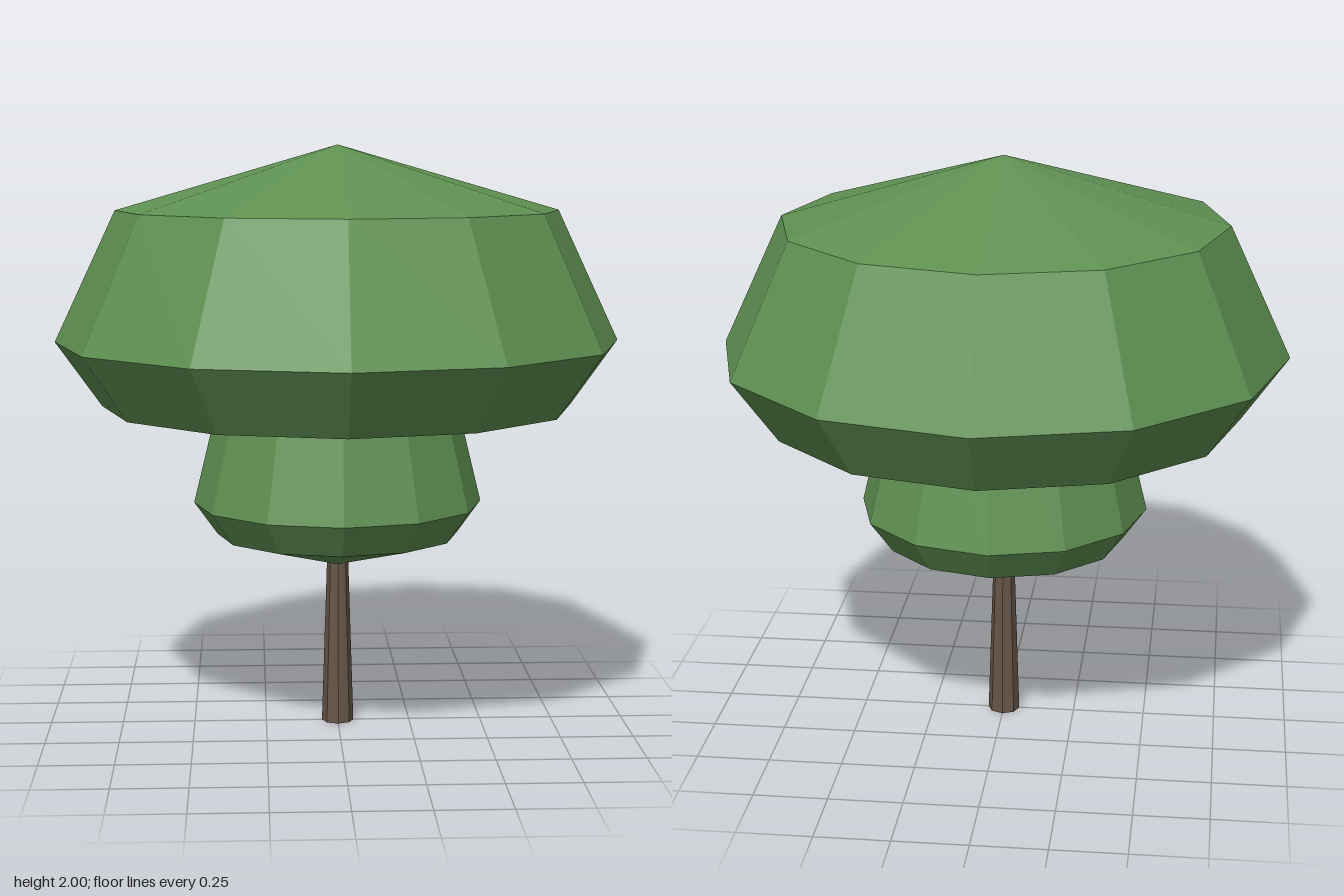
import * as THREE from 'three';

const SIDES = 12;

export function createModel() {
  const tree = new THREE.Group();
  tree.name = 'tree';

  // Two-tier crown: lower tier narrows upward into the recessed underside of the upper tier
  const profile = [
    [0, 0.556],
    [0.415, 0.667],
    [0.495, 0.778],
    [0.36, 1.333],
    [0.805, 1.114],
    [0.963, 1.335],
    [0.753, 1.78],
    [0, 2],
  ].map(([r, y]) => new THREE.Vector2(r, y));
  const crown = new THREE.Mesh(
    new THREE.LatheGeometry(profile, SIDES),
    new THREE.MeshStandardMaterial({ color: 0x5f9152, flatShading: true })
  );
  crown.name = 'crown';
  tree.add(crown);

  // Tapered trunk, its top sunk slightly into the crown
  const height = 0.6;
  const trunk = new THREE.Mesh(
    new THREE.CylinderGeometry(0.036, 0.055, height, 8),
    new THREE.MeshStandardMaterial({ color: 0x665548, flatShading: true })
  );
  trunk.position.y = height / 2;
  trunk.name = 'trunk';
  tree.add(trunk);

  return tree;
}
